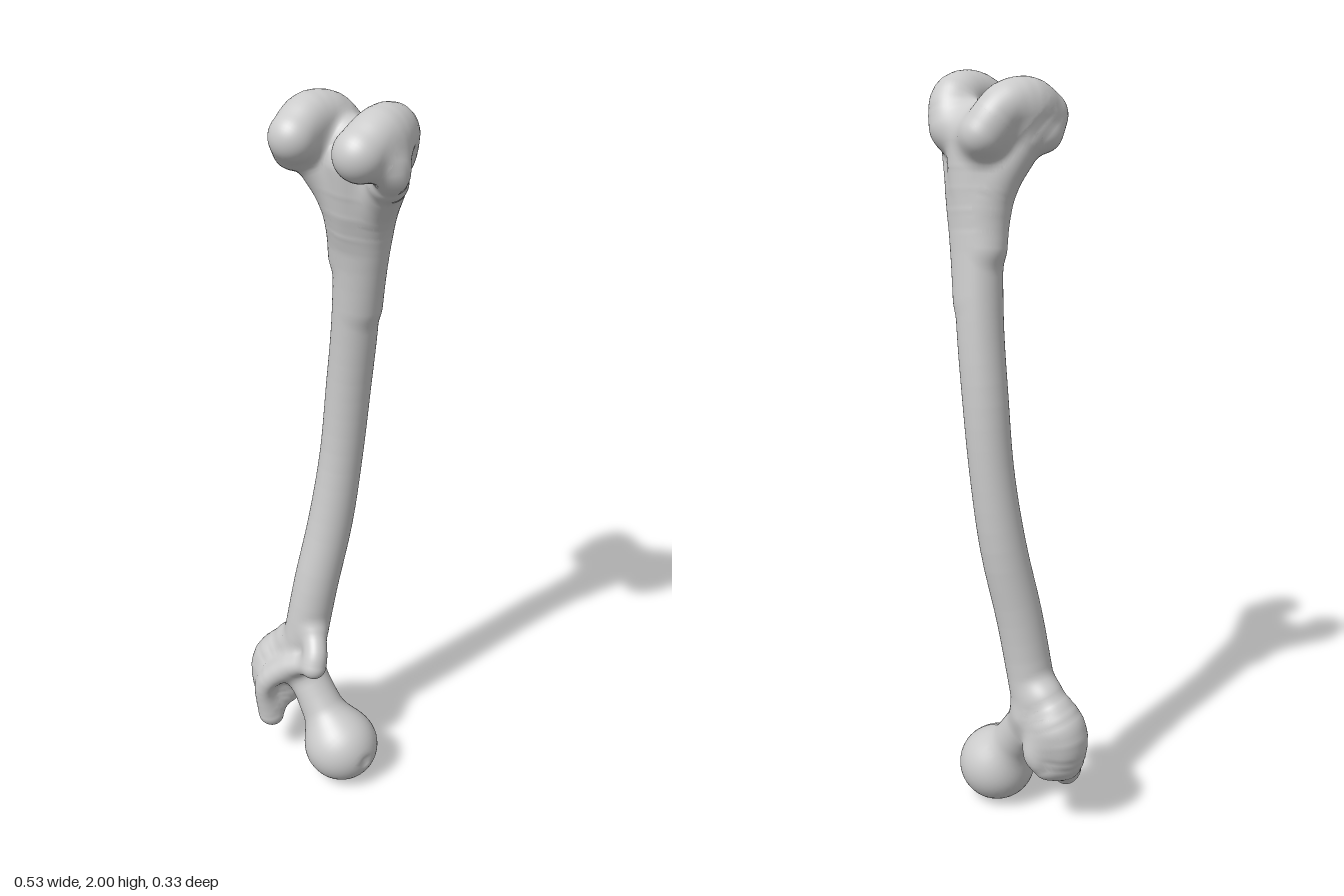
import * as THREE from 'three';

// Each part is a swept limb: a path of [x, y, z, radius] stations.
const PARTS = {
  shaft: [[.06, 1.83, -.05, .085], [.053, 1.72, -.062, .078], [.04, 1.6, -.08, .062], [.022, 1.4, -.098, .06],
    [-.002, 1.2, -.105, .059], [-.02, 1, -.1, .058], [-.04, .8, -.08, .061], [-.065, .6, -.045, .062],
    [-.085, .45, -.028, .062], [-.11, .33, -.025, .062]],
  // knee end
  medialFlare: [[.05, 1.45, -.095, .04], [.083, 1.6, -.078, .043], [.11, 1.7, -.06, .046], [.17, 1.81, -.01, .05]],
  lateralFlare: [[0, 1.58, -.08, .035], [.008, 1.7, -.06, .045], [-.045, 1.84, -.01, .05]],
  lateralCondyle: [[-.045, 1.895, .06, .062], [-.045, 1.925, .0, .064], [-.028, 1.915, -.06, .062], [.0, 1.855, -.105, .057]],
  medialCondyle: [[.172, 1.9, .1, .065], [.178, 1.93, .035, .066], [.165, 1.92, -.035, .064], [.14, 1.86, -.066, .057]],
  kneeBridge: [[.0, 1.87, -.075, .055], [.07, 1.875, -.06, .055], [.14, 1.87, -.055, .055]],
  medialEpicondyle: [[.19, 1.9, .02, .05], [.222, 1.855, .045, .042], [.2, 1.82, .02, .036]],
  lateralEpicondyle: [[-.05, 1.89, .0, .055], [-.075, 1.85, .035, .04]],
  // hip end
  head: [[.05, .108, -.01, .105], [.052, .107, -.01, .105]],
  neck: [[.03, .14, -.01, .066], [-.035, .225, -.015, .06], [-.1, .31, -.02, .062]],
  greaterTrochanter: [[-.145, .38, -.03, .052], [-.192, .295, -.018, .07], [-.19, .21, -.005, .058], [-.167, .135, .03, .026]],
  trochanterShoulder: [[-.17, .3, -.04, .045], [-.15, .23, -.06, .042], [-.165, .19, -.045, .036]],
  trochantericCrest: [[-.172, .15, .045, .028], [-.165, .27, .06, .032], [-.1, .345, .045, .028], [-.02, .385, .035, .026]],
  lesserTrochanter: [[-.035, .46, .0, .03], [-.01, .42, .03, .032], [-.004, .387, .045, .03]],
};

// Shallow hollows: [x, y, z, width, depth]
const DENTS = [
  [.155, .1, .01, .016, .014],    // pit on the head
  [-.115, .23, .05, .04, .015],   // fossa beside the neck
  [.07, 1.93, -.11, .045, .012],  // kneecap groove
  [.07, 1.9, .05, .04, .015],     // notch between the condyles
];
const BLEND = .035;

function makeLimb(name, stations) {
  const path = new THREE.CatmullRomCurve3(stations.map(([x, y, z]) => new THREE.Vector3(x, y, z)));
  const radii = new THREE.SplineCurve(stations.map((s, i) => new THREE.Vector2(i, s[3])));
  const at = (u) => {
    const p = path.getPointAt(u);
    return { x: p.x, y: p.y, z: p.z, r: radii.getPoint(path.getUtoTmapping(u)).y };
  };
  const count = name === 'shaft' ? 28 : stations.length > 2 ? 12 : 2;
  const samples = Array.from({ length: count + 1 }, (_, i) => at(i / count));
  const box = new THREE.Box3().setFromPoints(samples.map((s) => new THREE.Vector3(s.x, s.y, s.z)));
  box.expandByScalar(Math.max(...samples.map((s) => s.r)));
  return { name, path, at, samples, box };
}

// Distance to one limb, as a chain of tapered capsules
function limbDistance({ samples }, p) {
  let best = Infinity;
  for (let i = 1; i < samples.length; i++) {
    const a = samples[i - 1], b = samples[i];
    const dx = b.x - a.x, dy = b.y - a.y, dz = b.z - a.z;
    const px = p.x - a.x, py = p.y - a.y, pz = p.z - a.z;
    const t = Math.min(1, Math.max(0, (px * dx + py * dy + pz * dz) / (dx * dx + dy * dy + dz * dz)));
    const qx = px - t * dx, qy = py - t * dy, qz = pz - t * dz;
    best = Math.min(best, Math.sqrt(qx * qx + qy * qy + qz * qz) - a.r - t * (b.r - a.r));
  }
  return best;
}

// Smoothly blended distance to the whole bone
function field(limbs, p) {
  let f = 1;
  for (const limb of limbs) {
    if (limb.box.distanceToPoint(p) > .12) continue;
    const d = limbDistance(limb, p);
    const h = Math.max(BLEND - Math.abs(f - d), 0) / BLEND;
    f = Math.min(f, d) - h * h * BLEND / 4;
  }
  for (const [x, y, z, w, depth] of DENTS) {
    const d2 = (p.x - x) ** 2 + (p.y - y) ** 2 + (p.z - z) ** 2;
    f += depth * Math.exp(-d2 / (w * w));
  }
  return f;
}

function gradient(limbs, p) {
  const e = .002, q = p.clone(), g = new THREE.Vector3();
  for (const axis of ['x', 'y', 'z']) {
    q[axis] = p[axis] + e;
    const hi = field(limbs, q);
    q[axis] = p[axis] - e;
    g[axis] = hi - field(limbs, q);
    q[axis] = p[axis];
  }
  return g.normalize();
}

// Round-ended tube whose vertices settle onto the blended surface
function limbGeometry(limb, limbs) {
  const sides = 44, capSteps = 11;
  const steps = Math.max(2, Math.ceil(limb.path.getLength() / .011));
  const frames = limb.path.computeFrenetFrames(steps, false);
  const rings = [];
  for (let i = 0; i < capSteps; i++) rings.push([0, i / capSteps * Math.PI / 2]);
  for (let i = 0; i <= steps; i++) rings.push([i, Math.PI / 2]);
  for (let i = 1; i <= capSteps; i++) rings.push([steps, Math.PI / 2 * (1 + i / capSteps)]);

  const positions = [], normals = [], index = [], buried = [];
  for (const [k, lat] of rings) {
    const c = limb.at(k / steps);
    for (let j = 0; j <= sides; j++) {
      const a = j / sides * Math.PI * 2;
      const p = new THREE.Vector3(c.x, c.y, c.z)
        .addScaledVector(frames.tangents[k], -Math.cos(lat) * c.r)
        .addScaledVector(frames.normals[k], Math.cos(a) * Math.sin(lat) * c.r)
        .addScaledVector(frames.binormals[k], Math.sin(a) * Math.sin(lat) * c.r);
      const deep = field(limbs, p) < -.032;
      for (let n = 0; n < 5 && !deep; n++) {
        const f = field(limbs, p);
        if (Math.abs(f) < 2e-4) break;
        p.addScaledVector(gradient(limbs, p), -f);
      }
      buried.push(deep);
      positions.push(p.x, p.y, p.z);
      normals.push(...gradient(limbs, p).toArray());
    }
  }
  // Faces, leaving out those buried inside other parts
  const row = sides + 1;
  const face = (a, b, c) => { if (!(buried[a] || buried[b] || buried[c])) index.push(a, b, c); };
  for (let i = 0; i < rings.length - 1; i++) {
    for (let j = 0; j < sides; j++) {
      const a = i * row + j, b = a + row;
      face(a, a + 1, b);
      face(a + 1, b + 1, b);
    }
  }
  const geometry = new THREE.BufferGeometry();
  geometry.setAttribute('position', new THREE.Float32BufferAttribute(positions, 3));
  geometry.setAttribute('normal', new THREE.Float32BufferAttribute(normals, 3));
  geometry.setIndex(index);
  return geometry;
}

export function createModel() {
  const group = new THREE.Group();
  group.name = 'thighBone';
  const material = new THREE.MeshStandardMaterial({ color: 0xcccccc });
  const limbs = Object.entries(PARTS).map(([name, stations]) => makeLimb(name, stations));
  for (const limb of limbs) {
    const mesh = new THREE.Mesh(limbGeometry(limb, limbs), material);
    mesh.name = limb.name;
    group.add(mesh);
  }
  return group;
}
